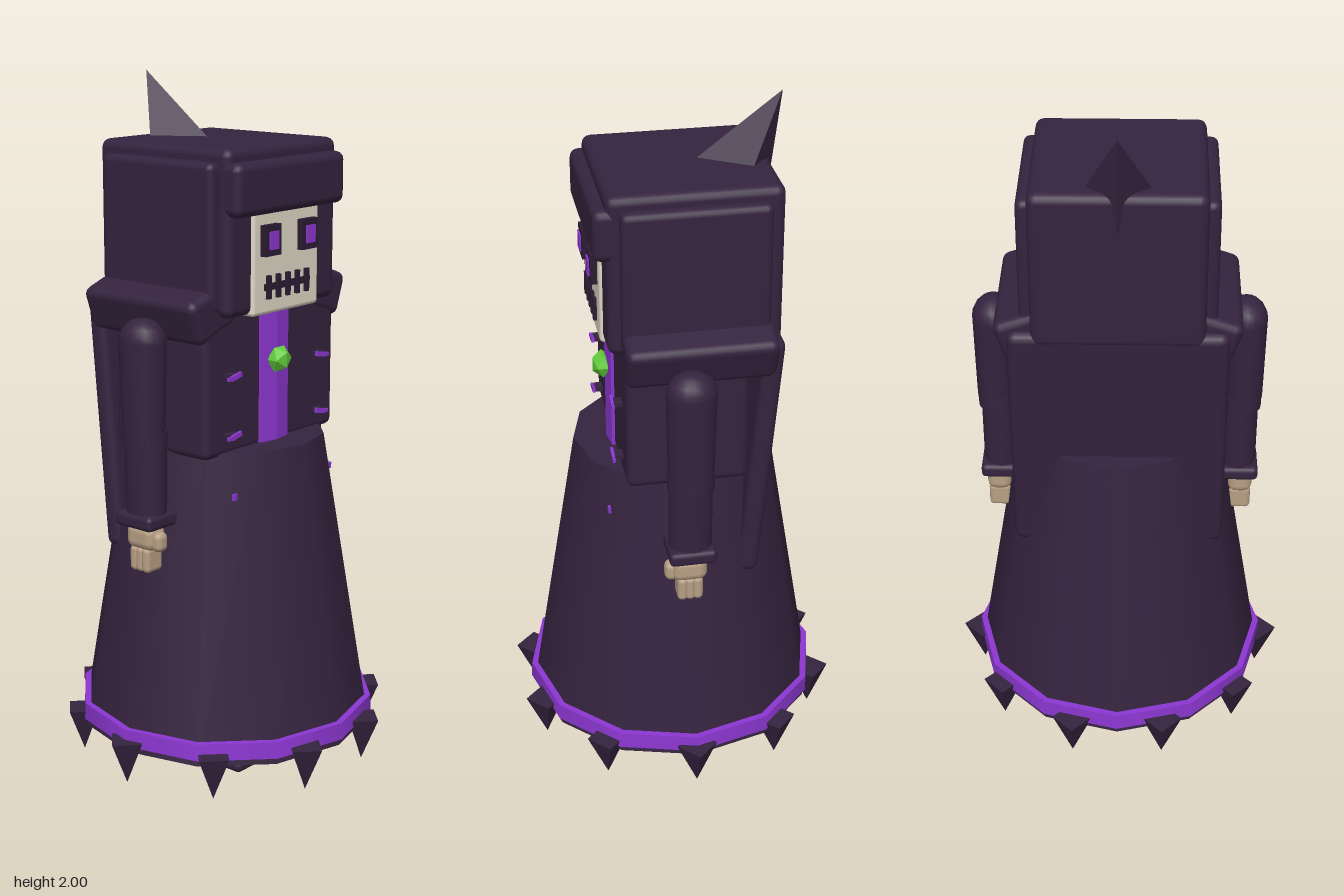
import * as THREE from 'three';
import { RoundedBoxGeometry } from 'three/addons/geometries/RoundedBoxGeometry.js';

export function createModel() {
  const model = new THREE.Group();
  model.name = 'hoodedSkeletonMage';
  const mat = (name, color) => {
    const m = new THREE.MeshStandardMaterial({ color });
    m.name = name;
    return m;
  };
  const robe = mat('dark plum cloth', 0x35233f);
  const purple = mat('purple trim', 0x8d37d2);
  const bone = mat('pale bone', 0xe2dac8);
  const handBone = mat('tan bone', 0xb89f84);
  const dark = mat('dark stitch', 0x2b1c33);
  const green = mat('green gem', 0x62cc3c);

  const add = (name, geo, material, x, y, z, parent = model) => {
    const mesh = new THREE.Mesh(geo, material);
    mesh.name = name;
    mesh.position.set(x, y, z);
    parent.add(mesh);
    return mesh;
  };
  // Boxes given by their limits: [x0, x1, y0, y1, z0, z1]
  const box = (name, [x0, x1, y0, y1, z0, z1], material, r = 0, parent = model) => {
    const w = x1 - x0, h = y1 - y0, d = z1 - z0;
    const geo = r ? new RoundedBoxGeometry(w, h, d, 2, r) : new THREE.BoxGeometry(w, h, d);
    return add(name, geo, material, (x0 + x1) / 2, (y0 + y1) / 2, (z0 + z1) / 2, parent);
  };

  // Skirt with trimmed hem
  add('skirt', new THREE.CylinderGeometry(0.29, 0.436, 0.88, 12), robe, 0, 0.535, 0);
  add('hemTrim', new THREE.CylinderGeometry(0.443, 0.445, 0.05, 12, 1, true), purple, 0, 0.14, 0);
  const ring = new THREE.RingGeometry(0.42, 0.443, 12);
  ring.rotateZ(Math.PI / 2).rotateX(-Math.PI / 2);
  add('hemTrimTop', ring, purple, 0, 0.165, 0);
  const under = new THREE.RingGeometry(0.42, 0.445, 12);
  under.rotateZ(Math.PI / 2).rotateX(Math.PI / 2);
  add('hemTrimUnderside', under, purple, 0, 0.115, 0);

  // Ten spikes hanging from the hem
  const spikeGeo = new THREE.ConeGeometry(0.06, 0.135, 4).toNonIndexed();
  spikeGeo.rotateX(Math.PI);
  spikeGeo.computeVertexNormals();
  for (let i = 0; i < 10; i++) {
    const a = (i * Math.PI) / 5;
    add('hemSpike', spikeGeo, robe, 0.438 * Math.cos(a), 0.0675, 0.438 * Math.sin(a));
  }

  // Boots
  for (const s of [-1, 1]) {
    const boot = new THREE.Group();
    boot.name = s > 0 ? 'leftBoot' : 'rightBoot';
    model.add(boot);
    const x = s * 0.13;
    box('bootSole', [x - 0.085, x + 0.085, 0.015, 0.05, -0.07, 0.235], robe, 0.015, boot);
    box('bootUpper', [x - 0.078, x + 0.078, 0.03, 0.12, -0.07, 0.16], robe, 0.015, boot);
  }

  // Torso, front stripe and gem
  box('torso', [-0.287, 0.287, 0.962, 1.4, -0.17, 0.175], robe, 0.022);
  box('neck', [-0.13, 0.13, 1.33, 1.42, -0.12, 0.16], robe, 0.02);
  const stripe = new THREE.Shape([[-0.06, 0.165], [0.06, 0.165], [0.06, 0.184], [0, 0.193], [-0.06, 0.184]]
    .map(([x, z]) => new THREE.Vector2(x, -z)).reverse());
  const stripeGeo = new THREE.ExtrudeGeometry(stripe, { depth: 0.4, bevelEnabled: false });
  add('frontStripe', stripeGeo.rotateX(-Math.PI / 2), purple, 0, 0.965, 0);
  const gem = add('gem', new THREE.IcosahedronGeometry(0.041, 0), green, 0, 1.213, 0.2);
  gem.scale.z = 0.8;

  // Small purple clasps on the coat, each on a dark backing, and flecks below
  for (const s of [-1, 1]) {
    for (const y of [1.195, 1.025]) {
      box('claspBacking', [s * 0.197 - 0.018, s * 0.197 + 0.018, y - 0.006, y + 0.006, 0.17, 0.198], robe);
      const bar = box('clasp', [s * 0.19 - 0.021, s * 0.19 + 0.021, y - 0.007, y + 0.007, 0.198, 0.206], purple);
      bar.rotation.z = s * -0.2;
      box('claspEnd', [s * 0.213 - 0.012, s * 0.213 + 0.012, y - 0.009, y + 0.001, 0.198, 0.206], purple);
    }
    box('skirtFleck', [s * 0.215 - 0.008, s * 0.215 + 0.008, 0.846, 0.864, 0.214, 0.222], purple);
  }

  // Cape slab slanting forward into the skirt
  const cape = box('cape', [-0.305, 0.305, 0.645, 1.4, -0.233, -0.173], robe, 0.025);
  cape.position.z = -0.205;
  cape.rotation.x = -0.085;

  // Shoulders, arms and hands, mirrored
  for (const s of [-1, 1]) {
    const side = s > 0 ? 'left' : 'right';
    const arm = new THREE.Group();
    arm.name = side + 'Arm';
    model.add(arm);
    const pad = add(side + 'ShoulderPad', new RoundedBoxGeometry(0.17, 0.13, 0.42, 2, 0.025),
      robe, s * 0.246, 1.375, -0.032, arm);
    pad.rotation.z = s * -0.33;

    // Sleeve sections: radii, bottom and top heights, x centre
    const sleeve = (name, rTop, rBottom, y0, y1, x) => {
      const m = add(name, new THREE.CylinderGeometry(rTop, rBottom, y1 - y0, 16), robe, s * x, (y0 + y1) / 2, 0.009, arm);
      m.scale.z = 1.17;
      return m;
    };
    const dome = add('shoulder', new THREE.SphereGeometry(0.061, 16, 10), robe, s * 0.361, 1.295, 0.009, arm);
    dome.scale.set(1, 1.08, 1.18);
    sleeve('upperSleeve', 0.061, 0.056, 1.03, 1.3, 0.361);
    sleeve('elbow', 0.058, 0.058, 1.0, 1.045, 0.357);
    sleeve('lowerSleeve', 0.054, 0.053, 0.79, 1.02, 0.353);
    box('cuff', [s * 0.349 - 0.063, s * 0.349 + 0.063, 0.765, 0.808, -0.06, 0.076], robe, 0.014, arm);

    // Bony fist: knuckle block, curled fingers and thumb
    const hx = s * 0.362;
    box('palm', [hx - 0.036, hx + 0.036, 0.7, 0.775, -0.036, 0.065], handBone, 0.025, arm);
    for (let i = 0; i < 3; i++) {
      const z = -0.008 + i * 0.022;
      box('finger', [hx - 0.033, hx + 0.033, 0.635, 0.71, z - 0.015, z + 0.015], handBone, 0.014, arm);
    }
    box('thumb', [hx - 0.022, hx + 0.022, 0.7, 0.758, 0.045, 0.085], handBone, 0.018, arm);
  }

  // Hood: central block, side panels and brow
  box('hood', [-0.238, 0.238, 1.36, 1.822, -0.268, 0.215], robe, 0.025);
  for (const s of [-1, 1]) {
    box('hoodSidePanel', [s * 0.235 - 0.035, s * 0.235 + 0.035, 1.37, 1.785, -0.23, 0.18], robe, 0.02);
  }
  box('hoodBrow', [-0.237, 0.237, 1.637, 1.785, 0.15, 0.25], robe, 0.025);

  // Swept-back hood point
  const tip = [0, 2, -0.305], front = [0, 1.81, -0.055], back = [0, 1.68, -0.265];
  const l = [0.092, 1.81, -0.205], r = [-0.092, 1.81, -0.205];
  const pointGeo = new THREE.BufferGeometry();
  pointGeo.setAttribute('position', new THREE.Float32BufferAttribute(
    [tip, front, l, tip, l, back, tip, back, r, tip, r, front].flat(), 3));
  pointGeo.computeVertexNormals();
  add('hoodPoint', pointGeo, robe, 0, 0, 0);

  // Skull face with eyes and stitched mouth
  box('face', [-0.146, 0.146, 1.355, 1.65, 0.12, 0.224], bone, 0.012);
  for (const s of [-1, 1]) {
    const x = s * 0.081;
    box('eyeSocket', [x - 0.034, x + 0.034, 1.522, 1.608, 0.22, 0.243], dark);
    box('eye', [x - 0.019, x + 0.019, 1.54, 1.59, 0.242, 0.248], purple);
  }
  box('mouthLine', [-0.098, 0.098, 1.424, 1.443, 0.22, 0.23], dark);
  for (let i = -2; i <= 2; i++) {
    box('mouthStitch', [i * 0.042 - 0.007, i * 0.042 + 0.007, 1.4, 1.466, 0.22, 0.234], dark);
  }
  return model;
}
